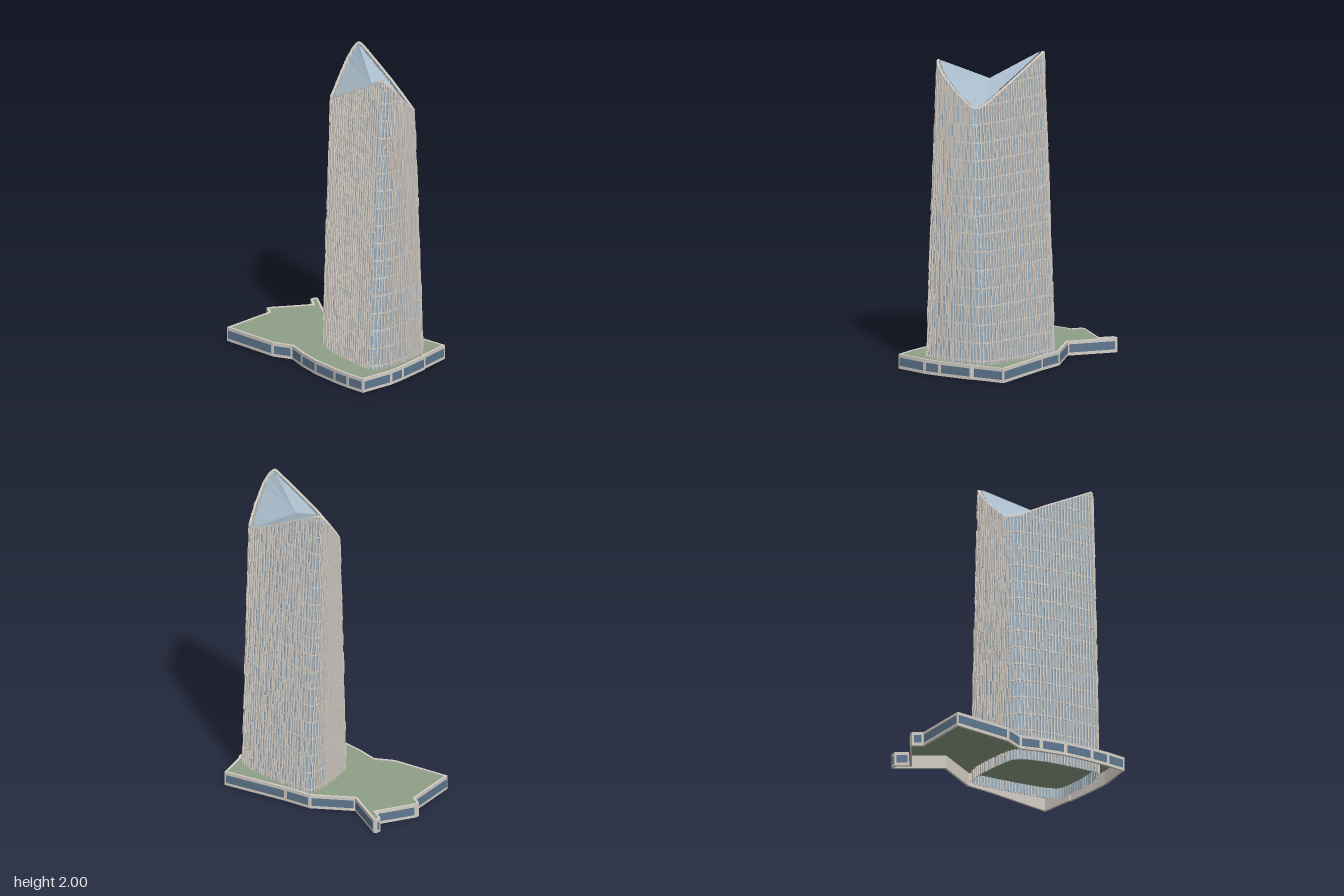
import * as THREE from 'three';
import { mergeGeometries } from 'three/addons/utils/BufferGeometryUtils.js';

const mat = (name, color, side = THREE.FrontSide) => {
  const m = new THREE.MeshStandardMaterial({ color, side });
  m.name = name;
  return m;
};

// Podium outline (x, z), listed clockwise from above, then reversed so normals point out
const PODIUM = [
  [0.51, -0.45], [0.575, -0.24], [0.585, -0.237], [0.645, -0.02], [0.668, 0.09], [0.675, 0.315],
  [0.55, 0.338], [0.43, 0.35], [0.243, 0.357], [0.08, 0.342], [-0.055, 0.315], [-0.17, 0.382],
  [-0.557, 0.445], [-0.612, 0.08], [-0.675, 0.05], [-0.675, 0.022], [-0.555, -0.22],
  [-0.637, -0.265], [-0.637, -0.305], [-0.62, -0.312], [-0.335, -0.168], [-0.1, -0.33], [0.08, -0.357],
].reverse();

// Tower base outline (x, z) with the height of the crown above each point
const TOWER = [
  [-0.02, 0.06, 1.74], [-0.005, 0.1, 1.72], [0.04, 0.14, 1.725], [0.12, 0.162, 1.765], [0.24, 0.178, 1.83],
  [0.4, 0.183, 1.91], [0.53, 0.178, 1.978], [0.565, 0.172, 2], [0.585, 0.12, 1.965], [0.59, 0.05, 1.92],
  [0.57, -0.1, 1.82], [0.53, -0.25, 1.73], [0.5, -0.28, 1.72], [0.42, -0.302, 1.75], [0.26, -0.315, 1.835],
  [0.1, -0.32, 1.915], [-0.04, -0.32, 1.985], [-0.073, -0.31, 2], [-0.083, -0.25, 1.96], [-0.08, -0.17, 1.9],
  [-0.05, -0.04, 1.81],
];
const BAYS = 96, FLOOR = 0.1155, BASE = 0.02, ROOF = 0.09, MID_Z = -0.07;

// Plan taper: the tower narrows front to back as it rises
const taper = (y) => 1 - 0.4 * Math.pow(Math.max(y, 0) / 2, 1.2);

// Evenly spaced points around the tower outline, with outward normals
function sampleTower() {
  const n = TOWER.length, cum = [0];
  for (let i = 0; i < n; i++) {
    const a = TOWER[i], b = TOWER[(i + 1) % n];
    cum.push(cum[i] + Math.hypot(b[0] - a[0], b[1] - a[1]));
  }
  const pts = [];
  for (let k = 0, s = 0; k < BAYS; k++) {
    const d = (k / BAYS) * cum[n];
    while (cum[s + 1] <= d) s++;
    const f = (d - cum[s]) / (cum[s + 1] - cum[s]);
    const a = TOWER[s], b = TOWER[(s + 1) % n];
    const [x, z, h] = a.map((v, j) => v + (b[j] - v) * f);
    pts.push({ x, z, h });
  }
  pts.forEach((p, i) => {
    const a = pts[(i + BAYS - 1) % BAYS], b = pts[(i + 1) % BAYS];
    const tx = b.x - a.x, tz = (b.z - a.z) * 0.8, l = Math.hypot(tx, tz);
    p.nx = -tz / l;
    p.nz = tx / l;
  });
  return pts;
}

const at = (p, y, out = 0) =>
  new THREE.Vector3(p.x + p.nx * out, y, MID_Z + (p.z - MID_Z) * taper(y) + p.nz * out);

// Skin a list of closed loops, each the same length
function loft(loops) {
  const n = loops[0].length, index = [];
  for (let r = 0; r < loops.length - 1; r++) {
    for (let i = 0; i < n; i++) {
      const j = (i + 1) % n, a = r * n + i, b = r * n + j;
      index.push(a, b, b + n, a, b + n, a + n);
    }
  }
  const g = new THREE.BufferGeometry().setFromPoints(loops.flat());
  g.setIndex(index);
  g.computeVertexNormals();
  return g;
}

// Box whose centre line runs from a to b, facing the direction out
function bar(a, b, width, depth, out) {
  const up = b.clone().sub(a), len = up.length();
  up.normalize();
  const side = up.clone().cross(out).normalize();
  const front = side.clone().cross(up);
  const m = new THREE.Matrix4().makeBasis(side, up, front).setPosition(a.clone().add(b).multiplyScalar(0.5));
  return new THREE.BoxGeometry(width, len, depth).applyMatrix4(m);
}

// Inset a plan polygon by a distance, with mitred corners
function inset(poly, d) {
  const n = poly.length;
  const normal = (a, b) => new THREE.Vector2(a[1] - b[1], b[0] - a[0]).normalize();
  return poly.map((p, i) => {
    const n1 = normal(poly[(i + n - 1) % n], p), n2 = normal(p, poly[(i + 1) % n]);
    const k = d / Math.max(1 + n1.dot(n2), 0.4);
    return [p[0] - (n1.x + n2.x) * k, p[1] - (n1.y + n2.y) * k];
  });
}

export function createModel() {
  const model = new THREE.Group();
  const stone = mat('pale stone', 0xd6cfc8);
  const glass = mat('facade glass', 0x9db3c4, THREE.DoubleSide);
  const crown = mat('crown glass', 0xa9bccb, THREE.DoubleSide);
  const windowGlass = mat('podium window glass', 0x5f7890);
  const lawn = mat('roof lawn', 0x8f9f85, THREE.DoubleSide);

  const add = (parent, name, geometry, material) => {
    const mesh = new THREE.Mesh(geometry, material);
    mesh.name = name;
    parent.add(mesh);
  };

  // Podium: hollow stone wall, planted roof and one window on each wall face
  const podium = new THREE.Group();
  podium.name = 'podium';
  model.add(podium);
  const toPlan = (poly) => poly.map(([x, z]) => new THREE.Vector2(x, -z));
  const inner = toPlan(inset(PODIUM, 0.014));
  const ring = new THREE.Shape(toPlan(PODIUM));
  ring.holes.push(new THREE.Path(inner));
  add(podium, 'podiumWall',
    new THREE.ExtrudeGeometry(ring, { depth: 0.093, bevelEnabled: false }).rotateX(-Math.PI / 2), stone);
  add(podium, 'podiumRoof',
    new THREE.ShapeGeometry(new THREE.Shape(inner)).rotateX(-Math.PI / 2).translate(0, ROOF - 0.002, 0), lawn);
  const windows = [];
  PODIUM.forEach(([x, z], i) => {
    const [x2, z2] = PODIUM[(i + 1) % PODIUM.length];
    const len = Math.hypot(x2 - x, z2 - z);
    if (len < 0.035) return;
    windows.push(new THREE.BoxGeometry(len - 0.024, 0.052, 0.006)
      .rotateY(Math.atan2(z - z2, x2 - x)).translate((x + x2) / 2, 0.046, (z + z2) / 2));
  });
  add(podium, 'podiumWindows', mergeGeometries(windows), windowGlass);

  // Tower: glass skin
  const tower = new THREE.Group();
  tower.name = 'tower';
  model.add(tower);
  const pts = sampleTower();
  const rows = 14, skin = [];
  for (let r = 0; r <= rows; r++) skin.push(pts.map((p) => at(p, BASE + ((p.h - BASE) * r) / rows)));
  add(tower, 'glassSkin', loft(skin), glass);

  // Staggered vertical fins, two lengths per floor
  let seed = 7;
  const random = () => (seed = (seed * 16807) % 2147483647) / 2147483647;
  const fins = [];
  pts.forEach((p, i) => {
    const out = new THREE.Vector3(p.nx, 0, p.nz);
    const onFront = p.nz > 0.95;
    let y = BASE;
    while (y < p.h - 0.012) {
      const top = Math.min(y + FLOOR * (0.4 + 0.5 * random()), p.h - 0.004);
      const shift = onFront ? 0 : (random() - 0.5) * 0.01;
      const depth = 0.008 + 0.006 * random();
      const move = new THREE.Vector3(p.nz, 0, -p.nx).multiplyScalar(shift);
      fins.push(bar(at(p, y, depth / 2 - 0.001).add(move), at(p, top, depth / 2 - 0.001).add(move), 0.007, depth, out));
      y = top;
    }
  });
  add(tower, 'facadeFins', mergeGeometries(fins), stone);

  // Floor bands, cut off where the crown slopes below them
  const bands = [];
  for (let y = 0.11; y < 1.98; y += FLOOR) {
    pts.forEach((p, i) => {
      const q = pts[(i + 1) % BAYS];
      if (Math.min(p.h, q.h) < y + 0.004) return;
      const out = new THREE.Vector3(p.nx + q.nx, 0, p.nz + q.nz).normalize();
      bands.push(bar(at(p, y, 0.001), at(q, y, 0.001), 0.009, 0.006, out));
    });
  }
  add(tower, 'floorBands', mergeGeometries(bands), stone);

  // Coping along the sloping rim
  const rim = [[0.009, -0.01], [0.009, 0], [-0.003, 0], [-0.003, -0.01]];
  const coping = loft(rim.map(([o, dy]) => pts.map((p) => at(p, p.h, o).add(new THREE.Vector3(0, dy, 0)))));
  add(tower, 'rimCoping', coping, stone);

  // Crown: saddle roof fanned from the inset rim to the centre, with an open gap round it
  const edge = pts.map((p) => at(p, p.h - 0.006, -0.021));
  const centre = new THREE.Vector3(0.255, 1.85, MID_Z);
  const fan = edge.flatMap((e, i) => [centre, e, edge[(i + 1) % BAYS]]);
  const roof = new THREE.BufferGeometry().setFromPoints(fan);
  roof.computeVertexNormals();
  add(tower, 'crownRoof', roof, crown);

  return model;
}
